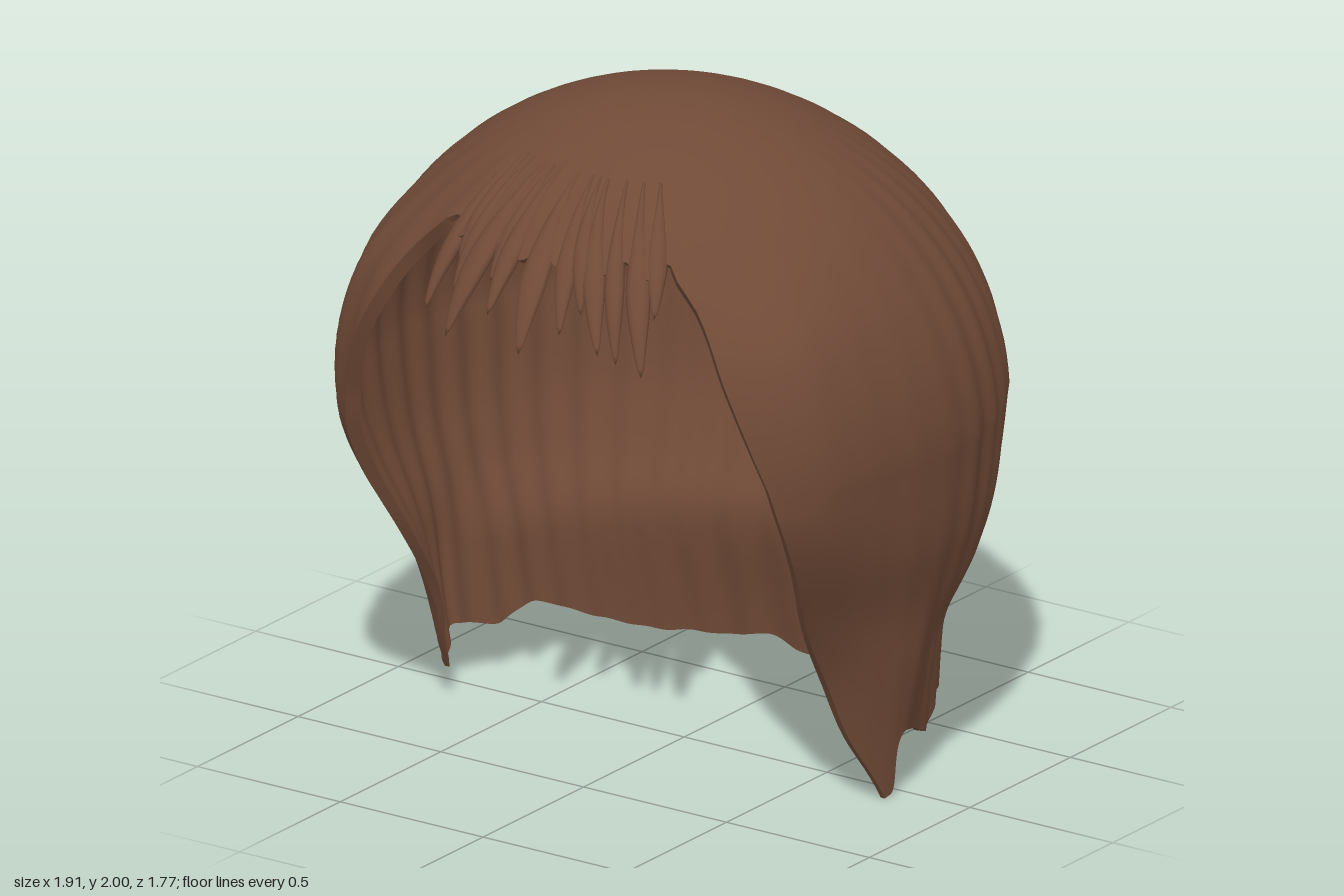
import * as THREE from 'three';
import { mergeVertices, mergeGeometries } from 'three/addons/utils/BufferGeometryUtils.js';

const { smoothstep, lerp, degToRad } = THREE.MathUtils;

// Smooth curve through [input, value] pairs
function curve(keys) {
  const f = new THREE.CubicInterpolant(keys.map(k => k[0]), keys.map(k => k[1]), 1, new Float32Array(1));
  return t => f.evaluate(t)[0];
}

// Radii of the hair at each height: sideways, forwards and backwards
const sideRadius = curve([[0, .77], [.2, .8], [.4, .84], [.6, .87], [.8, .92], [1.1, .95]]);
const frontRadius = curve([[0, .35], [.2, .4], [.4, .47], [.6, .64], [.8, .77], [1, .87], [1.1, .88]]);
const backRadius = curve([[0, .78], [.2, .74], [.4, .7], [.48, .7], [.6, .75], [.8, .84], [1.1, .905]]);

// Angle of the face opening at each height, in degrees from the front
const opening = curve([[0, 80], [.2, 64], [.4, 56], [.6, 54], [.8, 52], [1, 50],
  [1.2, 46], [1.4, 42], [1.6, 38], [1.7, 33], [2, 33]]);

// Ragged hem height, from the left lock round the back to the right lock
const hem = curve([[0, 0], [.03, .02], [.1, .2], [.13, .18], [.18, .1], [.22, .15], [.28, .18], [.35, .17],
  [.42, .14], [.46, .09], [.5, .01], [.54, .02], [.57, .06], [.61, .05], [.65, .06], [.69, .07],
  [.74, .12], [.8, .2], [.85, .16], [.9, .19], [.96, .13], [1, .1]]);

// A point on the hair at an angle and height, moved in by a relative inset
function hairPoint(deg, y, inset = 0) {
  const p = ((deg % 360) + 360) % 360, q = Math.min(p, 360 - p), a = degToRad(p);
  const up = Math.max(0, Math.min(1, (y - 1.1) / .9));
  const dome = Math.sqrt(1 - up * up), yl = Math.max(0, Math.min(y, 1.1));
  // Fullness beside the face
  let r = 1 + .06 * Math.exp(-(((q - 54) / 15) ** 2)) * smoothstep(y, .5, 1) * (1 - smoothstep(y, 1.45, 1.8));
  // Tuck at the nape
  r -= .07 * smoothstep(q, 86, 108) * Math.abs(Math.sin(a)) * (1 - smoothstep(y, .4, .65));
  // Grooves between locks, fading out on the smooth left side
  const calm = p > 33 && p < 110 ? lerp(.12, 1, smoothstep(p, 85, 110)) : 1;
  r += .008 * calm * smoothstep(dome, .25, .95) * Math.sin(38 * a + 1.5 * Math.sin(3 * a));
  r *= dome * (1 - inset);
  const c = Math.cos(a);
  return new THREE.Vector3(
    sideRadius(yl) * r * Math.sin(a),
    y - inset * up,
    .02 + .06 * up + c * r * (c > 0 ? frontRadius(yl) : backRadius(yl)));
}

// Surface grid through point(u, v)
function grid(point, nu, nv) {
  const pos = [], idx = [];
  for (let j = 0; j <= nv; j++) for (let i = 0; i <= nu; i++) pos.push(...point(i / nu, j / nv).toArray());
  for (let j = 0; j < nv; j++) for (let i = 0; i < nu; i++) {
    const a = j * (nu + 1) + i, b = a + nu + 1;
    idx.push(a, b, a + 1, a + 1, b, b + 1);
  }
  let g = new THREE.BufferGeometry();
  g.setAttribute('position', new THREE.Float32BufferAttribute(pos, 3));
  g.setIndex(idx);
  g = mergeVertices(g, 1e-5);
  g.computeVertexNormals();
  return g;
}

// Outer skin, lining and the rims that join them
function shell(point, nu, nv, sideRims) {
  const t = v => .045 - .025 * smoothstep(v, .8, 1);
  const parts = [
    grid((u, v) => point(u, v, 0), nu, nv),
    grid((u, v) => point(1 - u, v, t(v)), nu, nv),
    grid((u, v) => point(u, 1, v * t(1)), nu, 1),
  ];
  if (sideRims) parts.push(
    grid((u, v) => point(0, u, v * t(u)), nv, 1),
    grid((u, v) => point(1, 1 - u, v * t(1 - u)), nv, 1));
  return mergeGeometries(parts);
}

// Main hair: dome above, straight fall to the hem below
function mainPoint(u, v, inset) {
  const y = v < .5 ? 1.1 + .9 * Math.cos(v * Math.PI) : lerp(1.1, hem(u), v * 2 - 1);
  const e = opening(y);
  return hairPoint(lerp(e, 360 - e, u), y, inset);
}

// Panel from the crown to the roots of the fringe
function panelPoint(u, v, inset) {
  const low = 1.69 + .02 * Math.sin(u * 40);
  const y = 1.1 + .9 * Math.cos(v * Math.acos((low - 1.1) / .9));
  return hairPoint(lerp(-33, 33, u), y, inset);
}

// Flattened, pointed strand lying over the dome
function strand(rootDeg, tipDeg, tipY, width, lift) {
  return grid((u, v) => {
    const y = lerp(1.88, tipY, v), deg = lerp(rootDeg, tipDeg, v);
    const p = hairPoint(deg, y);
    const out = p.clone().sub(new THREE.Vector3(0, 1.1, 0)).normalize();
    const across = new THREE.Vector3(0, 1, 0).cross(out).normalize();
    const taper = Math.sqrt(Math.max(0, 1 - v ** 5)) * (1 - .45 * smoothstep(v, .55, 1));
    const w = width * taper * smoothstep(v, -.2, .55), h = .022 * taper;
    const a = u * Math.PI * 2;
    return p.addScaledVector(out, -.014 + lift * v * v)
      .addScaledVector(across, w * Math.cos(a))
      .addScaledVector(out, -h * Math.sin(a));
  }, 12, 20);
}

export function createModel() {
  const group = new THREE.Group();
  const brown = new THREE.MeshStandardMaterial({ color: 0x704a37, side: THREE.DoubleSide });
  brown.name = 'brown hair';
  const add = (name, geometry) => {
    const m = new THREE.Mesh(geometry, brown);
    m.name = name;
    group.add(m);
  };

  add('mainHair', shell(mainPoint, 240, 64, true));
  add('frontPanel', shell(panelPoint, 60, 20, false));

  // Fringe: root angle, tip angle, tip height, half width, lift
  const fringe = [
    [-30, -24.5, 1.47, .036, .01], [-23, -20, 1.54, .028, 0], [-16, -15.5, 1.43, .045, .025],
    [-9, -6.5, 1.52, .036, .03], [-1, 2.5, 1.44, .045, .035], [5, 9.5, 1.51, .034, .01],
    [11, 18, 1.47, .036, .02], [18, 21.5, 1.45, .03, .01], [24, 26.5, 1.42, .036, .015],
    [-27, -22, 1.62, .03, 0], [-12, -11, 1.6, .03, 0], [8, 13, 1.57, .03, 0], [30, 29, 1.58, .032, 0],
  ];
  fringe.forEach((f, i) => add('fringeStrand' + (i + 1), strand(...f)));

  return group;
}
